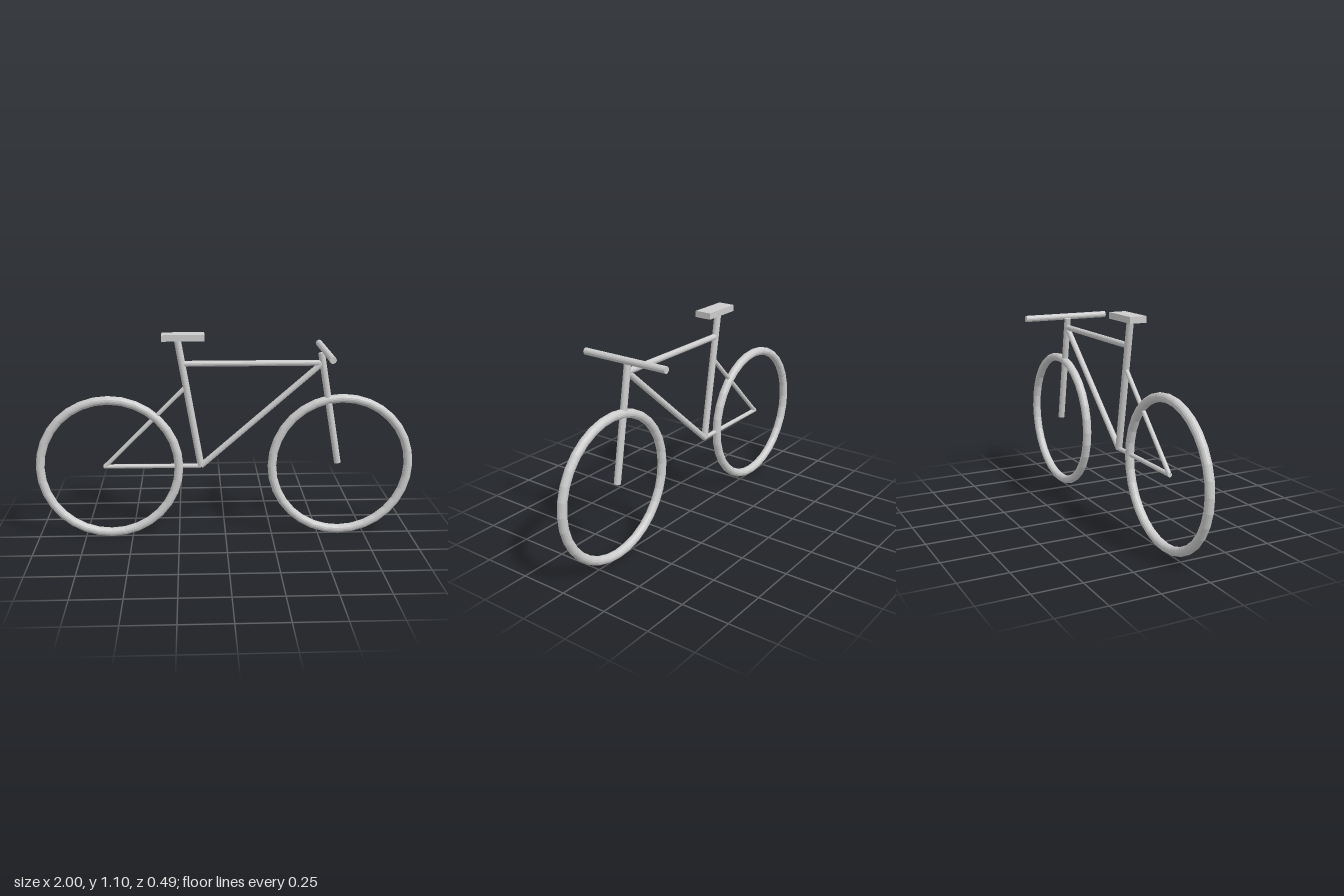
import * as THREE from 'three';

const material = new THREE.MeshStandardMaterial({ color: 0xcccccc, flatShading: true });

function addMesh(group, name, geometry) {
  const mesh = new THREE.Mesh(geometry, material);
  mesh.name = name;
  group.add(mesh);
  return mesh;
}

// Round closed tube running from point a to point b
function addTube(group, name, a, b, radius) {
  const start = new THREE.Vector3(...a);
  const end = new THREE.Vector3(...b);
  const axis = end.clone().sub(start);
  const tube = addMesh(group, name, new THREE.CylinderGeometry(radius, radius, axis.length(), 16));
  tube.position.copy(start).add(end).multiplyScalar(0.5);
  tube.quaternion.setFromUnitVectors(new THREE.Vector3(0, 1, 0), axis.normalize());
}

export function createModel() {
  const bike = new THREE.Group();
  bike.name = 'bicycle';

  // Wheels: plain rings without spokes
  for (const [name, x] of [['rearWheel', -0.612], ['frontWheel', 0.612]]) {
    addMesh(bike, name, new THREE.TorusGeometry(0.365, 0.023, 16, 32)).position.set(x, 0.389, 0);
  }

  // Frame, all in the centre plane
  const frame = new THREE.Group();
  frame.name = 'frame';
  bike.add(frame);
  const bracket = [-0.13, 0.393, 0];
  const rearAxle = [-0.643, 0.395, 0];
  const head = [0.502, 0.943, 0];
  addTube(frame, 'seatTube', bracket, [-0.246, 1.07, 0], 0.018);
  addTube(frame, 'topTube', [-0.221, 0.943, 0], head, 0.0155);
  addTube(frame, 'downTube', bracket, head, 0.0155);
  addTube(frame, 'chainStay', rearAxle, bracket, 0.0115);
  addTube(frame, 'seatStay', [-0.636, 0.396, 0], [-0.204, 0.824, 0], 0.0115);

  // Steering
  addTube(bike, 'fork', [0.597, 0.402, 0], [0.494, 0.995, 0], 0.0175);
  addTube(bike, 'handlebar', [0.515, 1.003, -0.243], [0.515, 1.003, 0.243], 0.0175);

  // Saddle block
  addMesh(bike, 'seat', new THREE.BoxGeometry(0.218, 0.033, 0.09)).position.set(-0.217, 1.082, 0);

  return bike;
}
